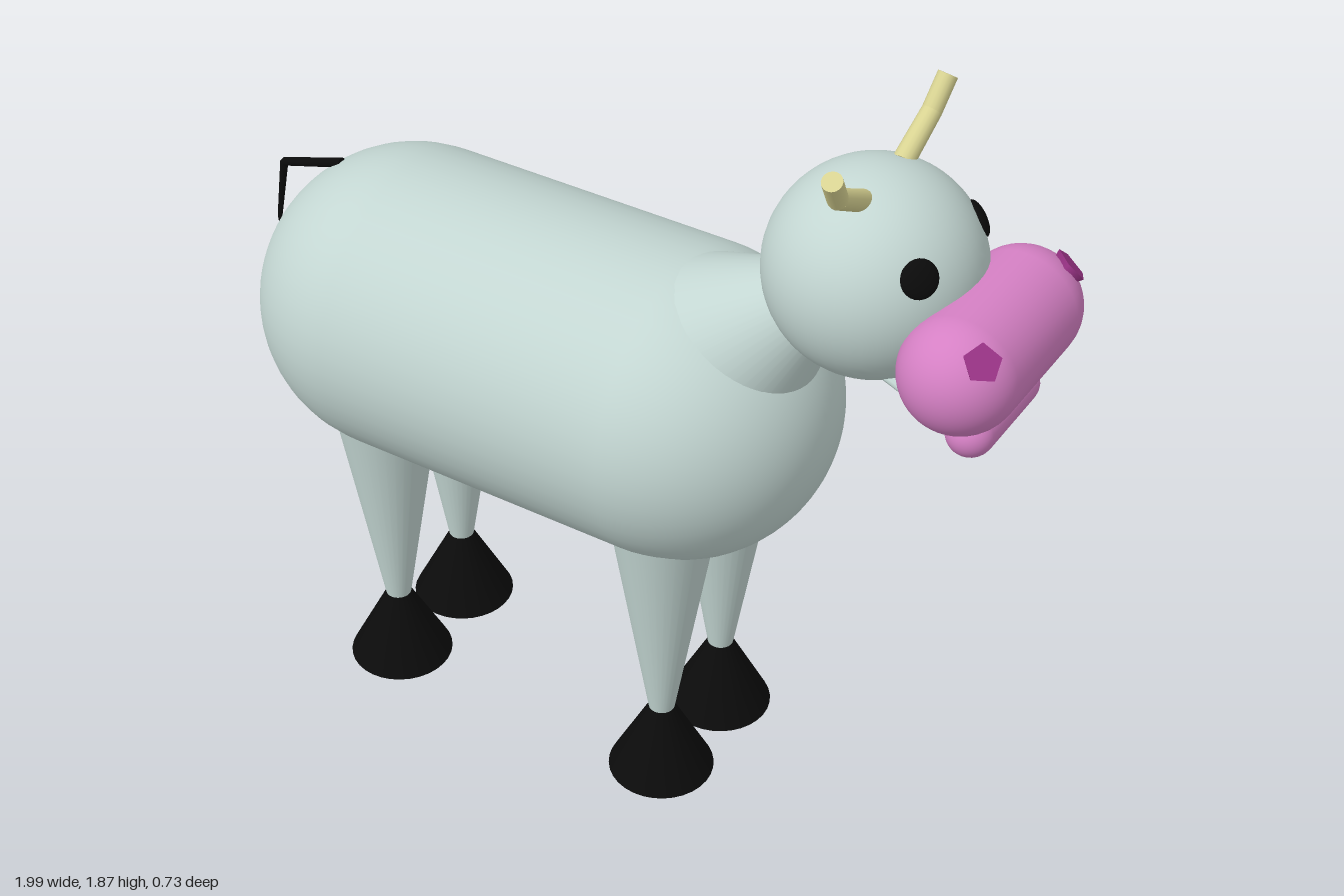
import * as THREE from 'three';

const mat = (color) => new THREE.MeshStandardMaterial({ color });

export function createModel() {
  const model = new THREE.Group();
  const hide = mat(0xc3d6d2);
  const pink = mat(0xd580c4);
  const magenta = mat(0x9c3488);
  const black = mat(0x0b0b0b);
  const horn = mat(0xd8d392);
  const up = new THREE.Vector3(0, 1, 0);
  const v = (x, y, z = 0) => new THREE.Vector3(x, y, z);

  const add = (name, geometry, material, x = 0, y = 0, z = 0) => {
    const mesh = new THREE.Mesh(geometry, material);
    mesh.name = name;
    mesh.position.set(x, y, z);
    model.add(mesh);
    return mesh;
  };

  // Tapered rod between two points
  const rod = (name, a, b, ra, rb, material, sides = 32) => {
    const dir = b.clone().sub(a);
    const mid = a.clone().add(b).multiplyScalar(0.5);
    const mesh = add(name, new THREE.CylinderGeometry(rb, ra, dir.length(), sides), material, mid.x, mid.y, mid.z);
    mesh.quaternion.setFromUnitVectors(up, dir.normalize());
    return mesh;
  };

  // Body
  const body = add('body', new THREE.CapsuleGeometry(0.365, 0.735, 20, 48), hide, -0.228, 1, 0);
  body.rotation.z = Math.PI / 2;

  // Neck and head
  rod('neck', v(0.271, 1.207), v(0.5, 1.43), 0.21, 0.061, hide, 48);
  add('head', new THREE.SphereGeometry(0.236, 48, 32), hide, 0.595, 1.52, 0);

  // Muzzle, lower lip and jaw
  const muzzle = add('muzzle', new THREE.CapsuleGeometry(0.129, 0.274, 16, 40), pink, 0.866, 1.44, 0);
  muzzle.rotation.x = Math.PI / 2;
  const lip = add('lowerLip', new THREE.CapsuleGeometry(0.053, 0.204, 12, 28), pink, 0.885, 1.275, 0);
  lip.rotation.x = Math.PI / 2;
  const jaw = rod('jaw', v(0.6, 1.385), v(0.885, 1.265), 1, 1, hide);
  jaw.scale.set(0.028, 1, 0.125);

  // Legs, hooves
  for (const [end, x] of [['front', 0.176], ['back', -0.598]]) {
    for (const [side, z] of [['Right', 0.136], ['Left', -0.136]]) {
      rod(`${end}${side}Leg`, v(x, 0.18, z), v(x, 0.8, z), 0.03, 0.131, hide);
      rod(`${end}${side}Hoof`, v(x, 0, z), v(x, 0.19, z), 0.127, 0.03, black);
    }
  }

  // Eyes, nostrils and horns, mirrored across the body
  for (const [side, s] of [['right', 1], ['left', -1]]) {
    const out = v(0.163, 0.1, 0.13 * s);
    const eye = add(`${side}Eye`, new THREE.SphereGeometry(0.042, 24, 16), black, 0.595 + out.x, 1.52 + out.y, out.z);
    eye.quaternion.setFromUnitVectors(up, out.normalize());
    eye.scale.y = 0.4;

    const face = v(0.07, 0.085, 0.063 * s);
    const nostril = add(`${side}Nostril`, new THREE.CylinderGeometry(0.042, 0.03, 0.03, 5), magenta, 0.866 + face.x * 0.96, 1.44 + face.y * 0.96, (0.137 + 0.06) * s);
    nostril.quaternion.setFromUnitVectors(up, face.normalize());

    const bend = v(0.603, 1.79, 0.198 * s);
    rod(`${side}HornBase`, v(0.6, 1.725, 0.085 * s), bend, 0.024, 0.022, horn, 16);
    add(`${side}HornBend`, new THREE.SphereGeometry(0.022, 16, 12), horn, bend.x, bend.y, bend.z);
    rod(`${side}HornTip`, bend, v(0.612, 1.857, 0.243 * s), 0.022, 0.022, horn, 16);
  }

  // Udder and teats
  add('udder', new THREE.SphereGeometry(0.153, 32, 24), magenta, -0.6, 0.7, 0);
  for (const dx of [-0.035, 0.035]) {
    for (const dz of [-0.033, 0.033]) {
      const teat = add('teat', new THREE.CapsuleGeometry(0.014, 0.02, 6, 12), pink, -0.6 + dx, 0.551, dz);
      teat.material = magenta;
    }
  }

  // Tail, thinning towards its tip
  const tail = [v(-0.79, 1.305), v(-0.965, 1.25), v(-0.993, 1.09), v(-0.963, 0.85)];
  const radii = [0.012, 0.01, 0.006, 0.001];
  for (let i = 0; i < 3; i++) {
    rod(`tailSegment${i + 1}`, tail[i], tail[i + 1], radii[i], radii[i + 1], black, 10);
  }

  return model;
}
